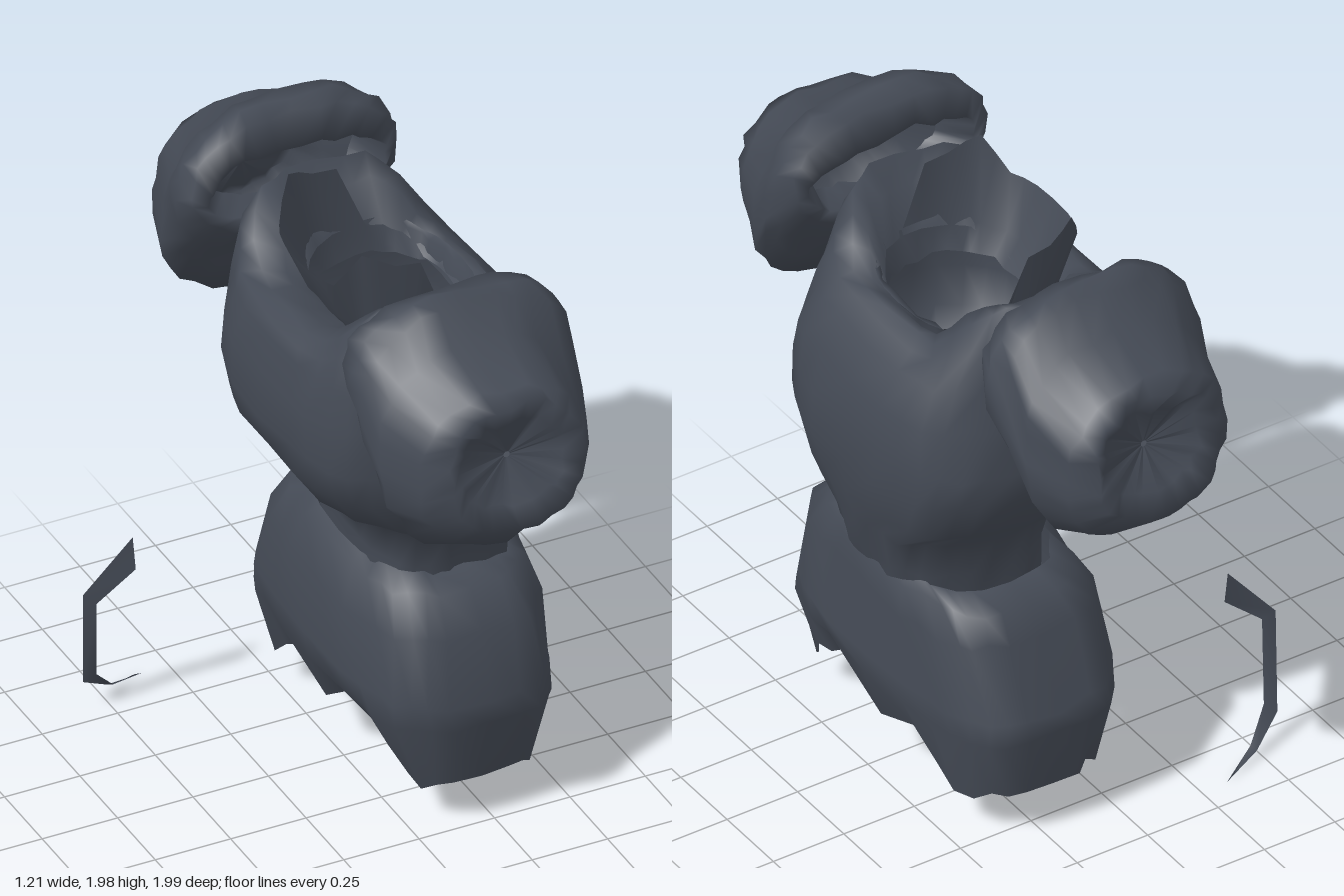
import * as THREE from 'three';

const SIDES = 32;
const darkSteel = new THREE.MeshStandardMaterial({ color: 0x444a55, side: THREE.DoubleSide });
darkSteel.name = 'dark steel';

// Small seeded wobble for the battered surface
let seed = 7;
const wobble = (a) => {
  seed = (seed * 16807) % 2147483647;
  return (seed / 2147483647 - 0.5) * 2 * a;
};
const soft = (v, p) => Math.sign(v) * Math.abs(v) ** p;
const mix = THREE.MathUtils.lerp;

// Joins equal-length rows of points into one surface
function loft(name, rows, closed = true) {
  const n = rows[0].length, index = [];
  for (let r = 0; r < rows.length - 1; r++) {
    for (let i = 0; i < (closed ? n : n - 1); i++) {
      const a = r * n + i, b = r * n + ((i + 1) % n);
      index.push(a, a + n, b, b, a + n, b + n);
    }
  }
  const g = new THREE.BufferGeometry();
  g.setAttribute('position', new THREE.Float32BufferAttribute(rows.flat(2), 3));
  g.setIndex(index);
  g.computeVertexNormals();
  const mesh = new THREE.Mesh(g, darkSteel);
  mesh.name = name;
  return mesh;
}

// Rounded ring around the body; y is a number or a rule of (cos, sin, z),
// taper narrows the +x end
function ring(y, x0, x1, z0, z1, { jitter = 0.01, power = 0.75, taper = 0 } = {}) {
  return Array.from({ length: SIDES }, (_, i) => {
    const t = (i / SIDES) * Math.PI * 2;
    const c = soft(Math.cos(t), power), s = soft(Math.sin(t), power);
    const z = mix(z0, z1, (s + 1) / 2) * (1 - taper * (c + 1) / 2);
    return [
      mix(x0, x1, (c + 1) / 2) + wobble(jitter),
      (typeof y === 'number' ? y : y(c, s, z)) + wobble(jitter),
      z + wobble(jitter),
    ];
  });
}

// Piecewise linear lookup
function lookup(pts, v) {
  if (v <= pts[0][0]) return pts[0][1];
  for (let i = 1; i < pts.length; i++) {
    const [a, ya] = pts[i - 1], [b, yb] = pts[i];
    if (v <= b) return mix(ya, yb, (v - a) / (b - a));
  }
  return pts[pts.length - 1][1];
}

// Chest shell, raised over the shoulders and open at neck and waist
function torso() {
  const shoulder = (low, high) => (c, s) => mix(low, high, THREE.MathUtils.smoothstep(Math.abs(s), 0.45, 0.95));
  const waist = { taper: 0.22 }, chest = { power: 0.65, taper: 0.06 };
  return loft('torso', [
    ring(0.70, 0.0, 0.49, -0.34, 0.34, waist),
    ring(0.82, 0.0, 0.52, -0.35, 0.35, waist),
    ring(0.95, -0.02, 0.56, -0.38, 0.38, waist),
    ring(1.04, -0.15, 0.58, -0.46, 0.47, { taper: 0.1 }),
    ring(1.18, -0.25, 0.60, -0.51, 0.51, chest),
    ring(1.30, -0.28, 0.59, -0.53, 0.53, chest),
    ring(1.45, -0.28, 0.57, -0.51, 0.51, chest),
    ring(1.57, -0.25, 0.51, -0.50, 0.50, chest),
    ring(shoulder(1.62, 1.72), -0.23, 0.46, -0.48, 0.48, chest),
    ring(shoulder(1.65, 1.83), -0.19, 0.42, -0.43, 0.43),
    ring(shoulder(1.64, 1.79), -0.12, 0.38, -0.34, 0.34),
    ring(shoulder(1.60, 1.67), -0.05, 0.35, -0.27, 0.26),
  ]);
}

// Collar: tall at the back, with a pointed corner at each side
function collar() {
  const rim = (c, s, z) => {
    const peak = Math.max(0, 1 - Math.abs(Math.abs(z) - 0.25) / 0.06);
    return (c < 0.2 ? 1.82 : 1.66) + (c < 0.2 ? 0.14 : 0.04) * peak;
  };
  return loft('collar', [
    ring(1.58, -0.03, 0.35, -0.25, 0.24),
    ring(1.66, -0.08, 0.37, -0.27, 0.26),
    ring(rim, -0.16, 0.39, -0.28, 0.28, { jitter: 0 }),
  ]);
}

// Flared, boxy skirt with a pointed hem
function skirt() {
  const hem = [[-0.57, 0.18], [-0.42, 0.13], [-0.2, 0.3], [-0.04, 0.2],
    [0.12, 0.35], [0.34, 0.21], [0.43, 0.11], [0.5, 0.18]];
  const boxy = { power: 0.62, jitter: 0.012 };
  return loft('skirt', [
    ring(0.80, 0.0, 0.46, -0.36, 0.33, boxy),
    ring(0.77, -0.04, 0.49, -0.46, 0.40, boxy),
    ring(0.67, -0.10, 0.505, -0.50, 0.50, boxy),
    ring(0.45, -0.11, 0.525, -0.60, 0.54, boxy),
    ring(0.37, -0.11, 0.53, -0.60, 0.545, boxy),
    ring((c, s, z) => lookup(hem, z), -0.04, 0.48, -0.57, 0.48, boxy),
  ]);
}

// Hollow-mouthed shoulder guard: slanted rings
// [top z, top y, bottom z, bottom y, x min, x max]
function shoulderGuard(side) {
  const rows = [
    [0.60, 1.84, 0.60, 1.64, -0.14, 0.33],
    [0.48, 1.86, 0.48, 1.64, -0.20, 0.38],
    [0.51, 1.96, 0.50, 1.58, -0.25, 0.43],
    [0.57, 1.98, 0.58, 1.46, -0.265, 0.45],
    [0.63, 1.97, 0.67, 1.35, -0.26, 0.445],
    [0.70, 1.87, 0.77, 1.21, -0.245, 0.425],
    [0.88, 1.80, 0.88, 1.27, -0.19, 0.37],
    [0.93, 1.77, 0.99, 1.37, -0.12, 0.32],
    [0.90, 1.70, 0.94, 1.43, -0.07, 0.27],
    [0.88, 1.58, 0.88, 1.56, 0.09, 0.11],
  ].map(([tz, ty, bz, by, x0, x1], r, all) => Array.from({ length: SIDES }, (_, i) => {
    const t = (i / SIDES) * Math.PI * 2;
    const k = (soft(Math.sin(t), 0.85) + 1) / 2;
    const j = r === all.length - 1 ? 0 : 0.011;
    return [
      mix(x0, x1, (soft(Math.cos(t), 0.85) + 1) / 2) + wobble(j),
      mix(by, ty, k) + wobble(j),
      side * (mix(bz, tz, k) + wobble(j)),
    ];
  }));
  return loft(side > 0 ? 'frontShoulderGuard' : 'rearShoulderGuard', rows);
}

// Loose curved strap
function strap() {
  return loft('strap', [
    [[-0.455, 0.62, -0.49], [-0.605, 0.44, -0.52], [-0.585, 0.10, -0.56], [-0.48, 0.03, -0.61], [-0.34, 0, -0.66]],
    [[-0.45, 0.51, -0.48], [-0.57, 0.41, -0.50], [-0.55, 0.13, -0.54], [-0.47, 0.04, -0.59], [-0.37, 0.01, -0.65]],
  ], false);
}

export function createModel() {
  const group = new THREE.Group();
  group.name = 'armour';
  group.add(torso(), collar(), skirt(), shoulderGuard(1), shoulderGuard(-1), strap());
  return group;
}
